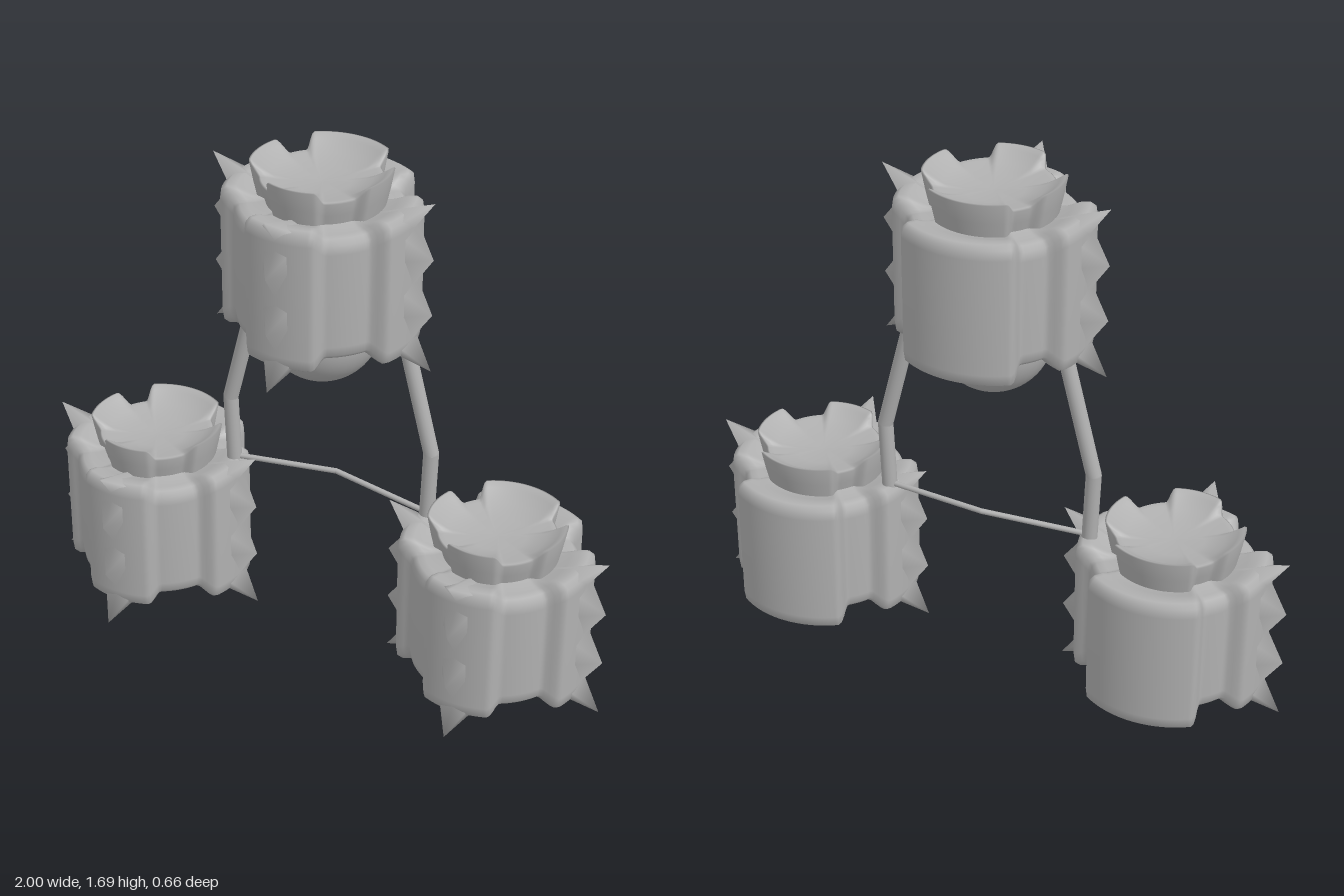
import * as THREE from 'three';
import { mergeVertices } from 'three/addons/utils/BufferGeometryUtils.js';

const grey = new THREE.MeshStandardMaterial({ color: 0xb0b0b0, side: THREE.DoubleSide });
grey.name = 'plain grey';

// lobes around each pod: angle from the front, radius, half width (degrees)
const LOBES = [[0, 0.29, 24], [90, 0.31, 23], [180, 0.32, 36], [270, 0.31, 23]];
const VALLEY = 0.265;

function lobeAt(deg) {
  let lift = 0, radius = VALLEY;
  for (const [centre, r, half] of LOBES) {
    const d = Math.abs(((deg - centre + 540) % 360) - 180);
    const l = 1 - THREE.MathUtils.smoothstep(d, half - 2, half + 7);
    if (l > lift) { lift = l; radius = VALLEY + (r - VALLEY) * l; }
  }
  return { lift, radius };
}

// sweeps rows of [radial scale, y, extra y on the lobes] round the lobed outline
function lobedShell(rows) {
  const n = 180, pos = [], idx = [];
  rows.forEach(([k, y, dy], i) => {
    for (let j = 0; j < n; j++) {
      const deg = (j * 360) / n, a = THREE.MathUtils.degToRad(deg);
      const { lift, radius } = lobeAt(deg);
      pos.push(Math.sin(a) * radius * k, y + dy * lift, Math.cos(a) * radius * k);
      if (i === rows.length - 1) continue;
      const p = i * n + j, q = i * n + ((j + 1) % n);
      idx.push(p, p + n, q, q, p + n, q + n);
    }
  });
  const g = new THREE.BufferGeometry();
  g.setAttribute('position', new THREE.Float32BufferAttribute(pos, 3));
  g.setIndex(idx);
  g.computeVertexNormals();
  return g;
}

// zigzag fin pointing along +z: a ridge of tips joined to a base line on each side
function finGeometry() {
  const ridge = [[0.377, 0.003], [0.309, 0.1], [0.377, 0.198], [0.313, 0.29],
    [0.377, 0.385], [0.309, 0.475], [0.377, 0.572]];
  const pos = [], tri = (...pts) => pts.forEach((p) => pos.push(...p));
  const tip = ([r, y]) => [0, y, r];
  const base = ([, y], s) => [s * 0.06, THREE.MathUtils.clamp(y, 0.07, 0.51), 0.29];
  for (let i = 0; i < ridge.length - 1; i++) {
    const a = ridge[i], b = ridge[i + 1];
    tri(tip(a), base(a, 1), base(b, 1), tip(a), base(b, 1), tip(b));
    tri(tip(a), base(b, -1), base(a, -1), tip(a), tip(b), base(b, -1));
  }
  // end spikes run back onto the top and bottom of the pod
  const low = ridge[0], high = ridge[ridge.length - 1];
  const backLow = [0, 0.07, 0.185], backHigh = [0, 0.5, 0.185];
  tri(tip(high), base(high, 1), backHigh, tip(high), backHigh, base(high, -1));
  tri(tip(low), backLow, base(low, 1), tip(low), base(low, -1), backLow);
  const g = new THREE.BufferGeometry();
  g.setAttribute('position', new THREE.Float32BufferAttribute(pos, 3));
  const smooth = mergeVertices(g);
  smooth.computeVertexNormals();
  return smooth;
}

function add(parent, geometry, name, x = 0, y = 0, z = 0) {
  const m = new THREE.Mesh(geometry, grey);
  m.name = name;
  m.position.set(x, y, z);
  parent.add(m);
  return m;
}

// straight round rods through a list of points with ball joints between them
function rods(parent, points, radius, name) {
  const g = new THREE.Group();
  g.name = name;
  const pts = points.map((p) => new THREE.Vector3(...p));
  for (let i = 0; i < pts.length - 1; i++) {
    const dir = pts[i + 1].clone().sub(pts[i]);
    const rod = add(g, new THREE.CylinderGeometry(radius, radius, dir.length(), 16), name + 'Rod');
    rod.position.copy(pts[i]).addScaledVector(dir, 0.5);
    rod.quaternion.setFromUnitVectors(new THREE.Vector3(0, 1, 0), dir.normalize());
    if (i > 0) add(g, new THREE.SphereGeometry(radius, 16, 10), name + 'Joint', ...points[i]);
  }
  parent.add(g);
}

export function createModel() {
  const model = new THREE.Group();
  model.name = 'threePods';

  // puffy outer ring with a shallow recess underneath
  const body = lobedShell([[0.62, 0.5, 0], [0.74, 0.493, 0.02], [0.84, 0.492, 0.034],
    [0.93, 0.49, 0.037], [0.985, 0.475, 0.04], [1, 0.445, 0.038], [1, 0.135, -0.035],
    [0.985, 0.105, -0.04], [0.93, 0.09, -0.036], [0.84, 0.088, -0.033], [0.75, 0.09, -0.025],
    [0.7, 0.1, -0.015], [0.66, 0.115, 0], [0.6, 0.12, 0], [0, 0.125, 0]]);
  // flared crown with a shallow dish on top
  const crown = lobedShell([[0, 0.56, 0], [0.3, 0.562, 0], [0.5, 0.568, 0.008], [0.63, 0.574, 0.03],
    [0.69, 0.576, 0.04], [0.71, 0.572, 0.043], [0.67, 0.53, 0.02], [0.62, 0.48, 0]]);
  const fin = finGeometry();

  for (const [name, x, y] of [['topPod', 0, 1.08], ['leftPod', 0.622, 0], ['rightPod', -0.622, 0]]) {
    const pod = new THREE.Group();
    pod.name = name;
    pod.position.set(x, y, -0.01);
    add(pod, body, 'podBody');
    add(pod, crown, 'podCrown');
    add(pod, fin, 'frontFin', 0, 0, -0.032);
    add(pod, fin, 'leftFin').rotation.y = Math.PI / 2;
    add(pod, fin, 'rightFin').rotation.y = -Math.PI / 2;
    model.add(pod);
  }

  // ball under the top pod
  add(model, new THREE.SphereGeometry(0.187, 40, 28), 'ball', 0, 1.155, -0.015);

  // bent struts from the top pod to the lower pods
  for (const s of [1, -1]) {
    rods(model, [[s * 0.245, 1.22, -0.06], [s * 0.363, 0.755, -0.06], [s * 0.352, 0.48, -0.06]],
      0.025, s > 0 ? 'leftStrut' : 'rightStrut');
  }
  // thin cable between the struts
  rods(model, [[-0.352, 0.53, -0.06], [0, 0.547, -0.11], [0.352, 0.53, -0.06]], 0.009, 'cable');

  return model;
}
